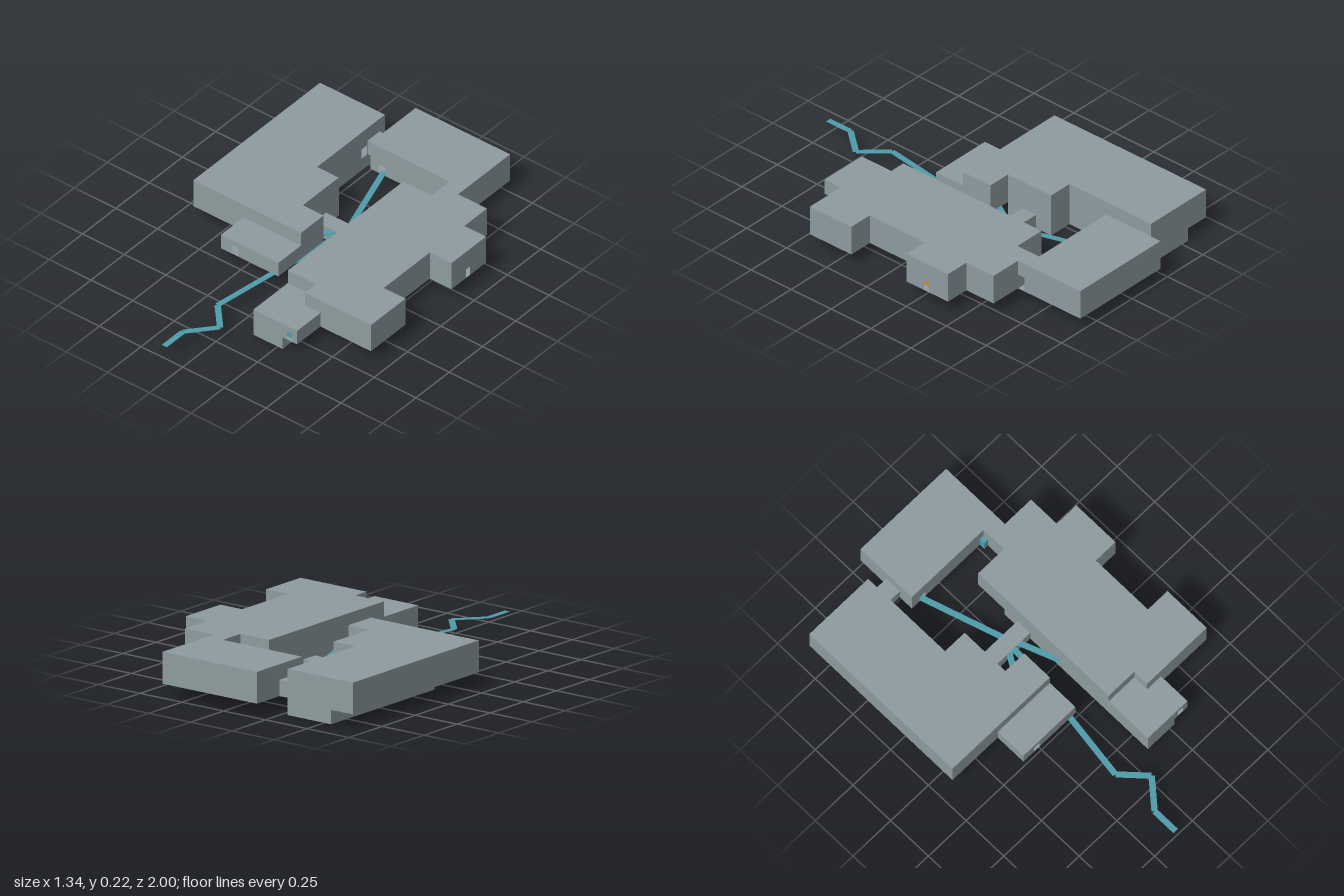
import * as THREE from 'three';

const mat = (name, color) => {
  const m = new THREE.MeshStandardMaterial({ color, side: THREE.DoubleSide });
  m.name = name;
  return m;
};

export function createModel() {
  const root = new THREE.Group();
  root.name = 'hollowComplex';
  const stone = mat('stoneGrey', 0x8f9ca0);
  const water = mat('waterTeal', 0x4f9dab);
  const amber = mat('amberOrange', 0xd08a30);

  const add = (parent, name, geo, m) => {
    const mesh = new THREE.Mesh(geo, m);
    mesh.name = name;
    parent.add(mesh);
    return mesh;
  };
  const box = (name, x0, x1, y0, y1, z0, z1, m) =>
    add(root, name, new THREE.BoxGeometry(x1 - x0, y1 - y0, z1 - z0), m)
      .position.set((x0 + x1) / 2, (y0 + y1) / 2, (z0 + z1) / 2);

  // A hollow room from a plan of [x, z] corners; doors are [edge, start, end, top]
  function room(name, plan, y0, y1, doors = []) {
    const group = new THREE.Group();
    group.name = name;
    root.add(group);
    const slab = new THREE.Shape(plan.map(p => new THREE.Vector2(...p)));
    for (const [part, y] of [['floor', y0], ['roof', y1]]) {
      const geo = new THREE.ShapeGeometry(slab).rotateX(Math.PI / 2);
      add(group, part, geo, stone).position.y = y;
    }
    plan.forEach((a, i) => {
      const b = plan[(i + 1) % plan.length];
      const len = Math.hypot(b[0] - a[0], b[1] - a[1]);
      const pts = [[0, y0]];
      for (const [edge, s, e, top] of doors) {
        if (edge === i) pts.push([s, y0], [s, top], [e, top], [e, y0]);
      }
      pts.push([len, y0], [len, y1], [0, y1]);
      const wall = new THREE.Shape(pts.map(p => new THREE.Vector2(...p)));
      const mesh = add(group, 'wall', new THREE.ShapeGeometry(wall), stone);
      mesh.position.set(a[0], 0, a[1]);
      mesh.rotation.y = -Math.atan2(b[1] - a[1], b[0] - a[0]);
    });
  }

  const low = 0.07, mid = 0.15, high = 0.225;

  // Upper storey
  room('leftHall', [[-0.67, -0.87], [-0.28, -0.87], [-0.28, -0.36], [-0.15, -0.36],
    [-0.15, -0.09], [-0.025, -0.09], [-0.025, 0.08], [-0.67, 0.08]], low, high,
  [[1, 0.135, 0.175, 0.125]]);
  room('rightHall', [[0.105, -0.525], [0.275, -0.525], [0.275, -0.61], [0.54, -0.61],
    [0.54, -0.44], [0.67, -0.44], [0.67, -0.18], [0.54, -0.18], [0.54, 0.165], [0.67, 0.165],
    [0.67, 0.425], [0.275, 0.425], [0.275, 0.34], [0.105, 0.34]], low, high,
  [[5, 0.12, 0.15, 0.122]]);
  room('backHall', [[-0.2, -1], [0.367, -1], [0.367, -0.61], [0.275, -0.61],
    [0.275, -0.66], [-0.2, -0.66]], low, high,
  [[1, 0.35, 0.389, 0.147], [4, 0.385, 0.425, 0.122]]);

  // Lower annexes and the passage between halls
  room('leftPorch', [[-0.37, 0.08], [-0.025, 0.08], [-0.025, 0.25], [-0.37, 0.25]], low, mid,
    [[2, 0.24, 0.275, 0.122]]);
  room('frontPorch', [[0.105, 0.34], [0.275, 0.34], [0.275, 0.425], [0.367, 0.425],
    [0.367, 0.6], [0.105, 0.6]], low, mid, [[4, 0.03, 0.062, 0.122]]);
  box('passage', -0.28, -0.2, low, mid, -0.83, -0.74, stone);

  // Basement storey and bridge
  room('leftBasement', [[-0.54, -0.87], [-0.28, -0.87], [-0.28, -0.36], [-0.15, -0.36],
    [-0.15, -0.09], [-0.28, -0.09], [-0.28, 0], [-0.37, 0], [-0.37, -0.09], [-0.54, -0.09]], 0, low);
  room('rightBasement', [[0.105, -0.35], [0.28, -0.35], [0.28, -0.265], [0.19, -0.265],
    [0.19, 0.34], [0.28, 0.34], [0.28, 0.6], [0.105, 0.6]], 0, low);
  box('bridge', -0.15, 0.105, 0, 0.075, -0.265, -0.18, stone);

  // Water channels, laid as thin strips along each path
  const streams = [
    [[-0.135, -0.68], [0.005, -0.24]],
    [[0, -0.22], [-0.02, 0.02], [-0.06, 0.25], [-0.11, 0.6], [0.005, 0.725], [-0.11, 0.86], [-0.11, 1]],
    [[-0.01, -0.22], [-0.1, -0.07]],
    [[0.02, -0.22], [0.13, 0.07]],
  ];
  for (const path of streams) {
    for (let i = 0; i + 1 < path.length; i++) {
      const [x0, z0] = path[i], [x1, z1] = path[i + 1];
      const len = Math.hypot(x1 - x0, z1 - z0);
      const strip = add(root, 'stream', new THREE.BoxGeometry(0.03, 0.002, len), water);
      strip.position.set((x0 + x1) / 2, 0.0715, (z0 + z1) / 2);
      strip.rotation.y = Math.atan2(x1 - x0, z1 - z0);
    }
  }

  // Tanks and hearths standing inside the rooms
  box('frontTank', 0.29, 0.36, 0.071, 0.1, 0.49, 0.58, water);
  box('backTank', 0.25, 0.32, 0.071, 0.148, -0.68, -0.63, water);
  box('rightHearth', 0.54, 0.63, 0.068, 0.14, -0.34, -0.25, amber);
  box('backHearth', -0.19, -0.1, 0.068, 0.14, -0.93, -0.85, amber);

  return root;
}
